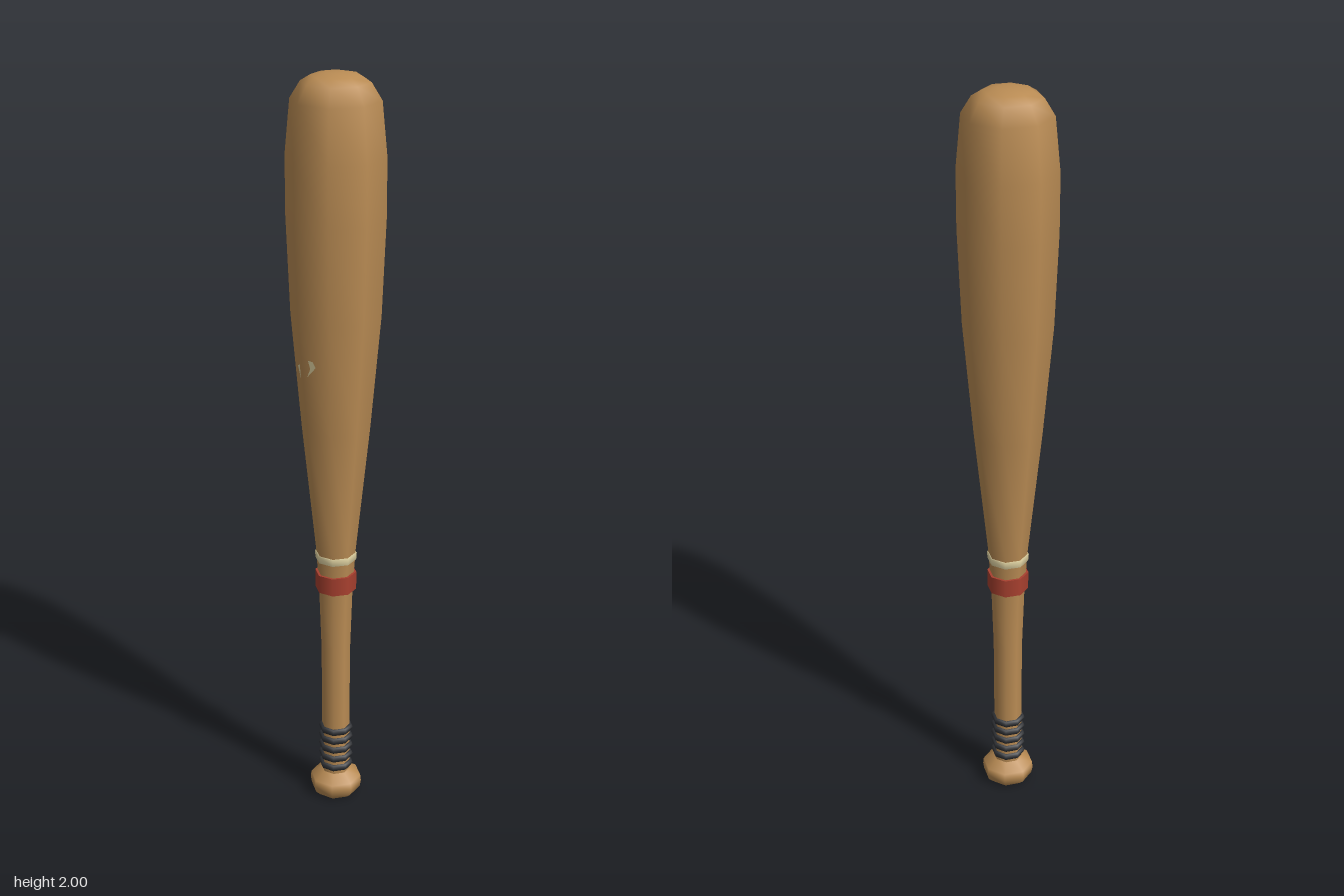
import * as THREE from 'three';

const SIDES = 8;

export function createModel() {
  const bat = new THREE.Group();
  bat.name = 'bat';

  const material = (name, color, side = THREE.FrontSide) => {
    const m = new THREE.MeshStandardMaterial({ color, side });
    m.name = name;
    return m;
  };
  const wood = material('wood', 0xba8c54);
  const red = material('red', 0xa8402f);
  const cream = material('cream', 0xddd0a0, THREE.DoubleSide);
  const dark = material('dark grip', 0x303236);

  const add = (name, geometry, mat) => {
    const mesh = new THREE.Mesh(geometry, mat);
    mesh.name = name;
    bat.add(mesh);
    return mesh;
  };
  // Eight-sided turned part; profile runs from bottom to top
  const turned = (name, profile, mat) =>
    add(name, new THREE.LatheGeometry(profile.map(([r, y]) => new THREE.Vector2(r, y)), SIDES), mat);

  // Handle and barrel with rounded tip
  const body = [
    [0.039, 0.06], [0.038, 0.22], [0.039, 0.45], [0.045, 0.63], [0.053, 0.75],
    [0.089, 1.1], [0.115, 1.4], [0.125, 1.65], [0.125, 1.8],
    [0.112, 1.935], [0.086, 1.977], [0.06, 1.993], [0.026, 2], [0, 2],
  ];
  turned('handleAndBarrel', body, wood);

  // Knob, with a separate flat base
  turned('knob', [[0.054, 0], [0.068, 0.014], [0.071, 0.032], [0.069, 0.05], [0.036, 0.073]], wood);
  const base = add('knobBase', new THREE.CircleGeometry(0.054, SIDES, Math.PI / 2), wood);
  base.rotation.x = Math.PI / 2;

  // Painted bands: closed rings
  const band = (name, bottom, top, r, inner, mat) => {
    const ring = add(name, new THREE.CylinderGeometry(r, r, top - bottom, SIDES), mat);
    ring.position.y = (bottom + top) / 2;
    return ring;
  };
  band('redBand', 0.635, 0.685, 0.055, 0.04, red);
  turned('creamBand', [[0.05, 0.721], [0.0545, 0.722], [0.056, 0.741], [0.05, 0.742]], cream);

  // Grip cords
  for (let i = 0; i < 5; i++) {
    const y = 0.091 + i * 0.0285;
    turned('gripCord', [
      [0.036, y - 0.009], [0.044, y - 0.008], [0.047, y], [0.044, y + 0.008], [0.036, y + 0.009],
    ], dark);
  }

  // Small chips lying on the two front facets of the barrel
  const chip = (name, points) => {
    const geometry = new THREE.ShapeGeometry(new THREE.Shape(points.map(([x, y]) => new THREE.Vector2(x, y))));
    const p = geometry.attributes.position;
    for (let i = 0; i < p.count; i++) {
      const radius = 0.089 + (p.getY(i) - 1.1) * (0.026 / 0.3);
      p.setZ(i, radius - Math.abs(p.getX(i)) * Math.tan(Math.PI / 8) + 0.002);
    }
    geometry.computeVertexNormals();
    add(name, geometry, cream);
  };
  chip('rightChip', [[-0.037, 1.274], [-0.012, 1.244], [-0.016, 1.292], [-0.022, 1.28]]);
  chip('leftChip', [[0.014, 1.258], [0.039, 1.288], [0.032, 1.303], [0.02, 1.304], [0.024, 1.282]]);

  return bat;
}
